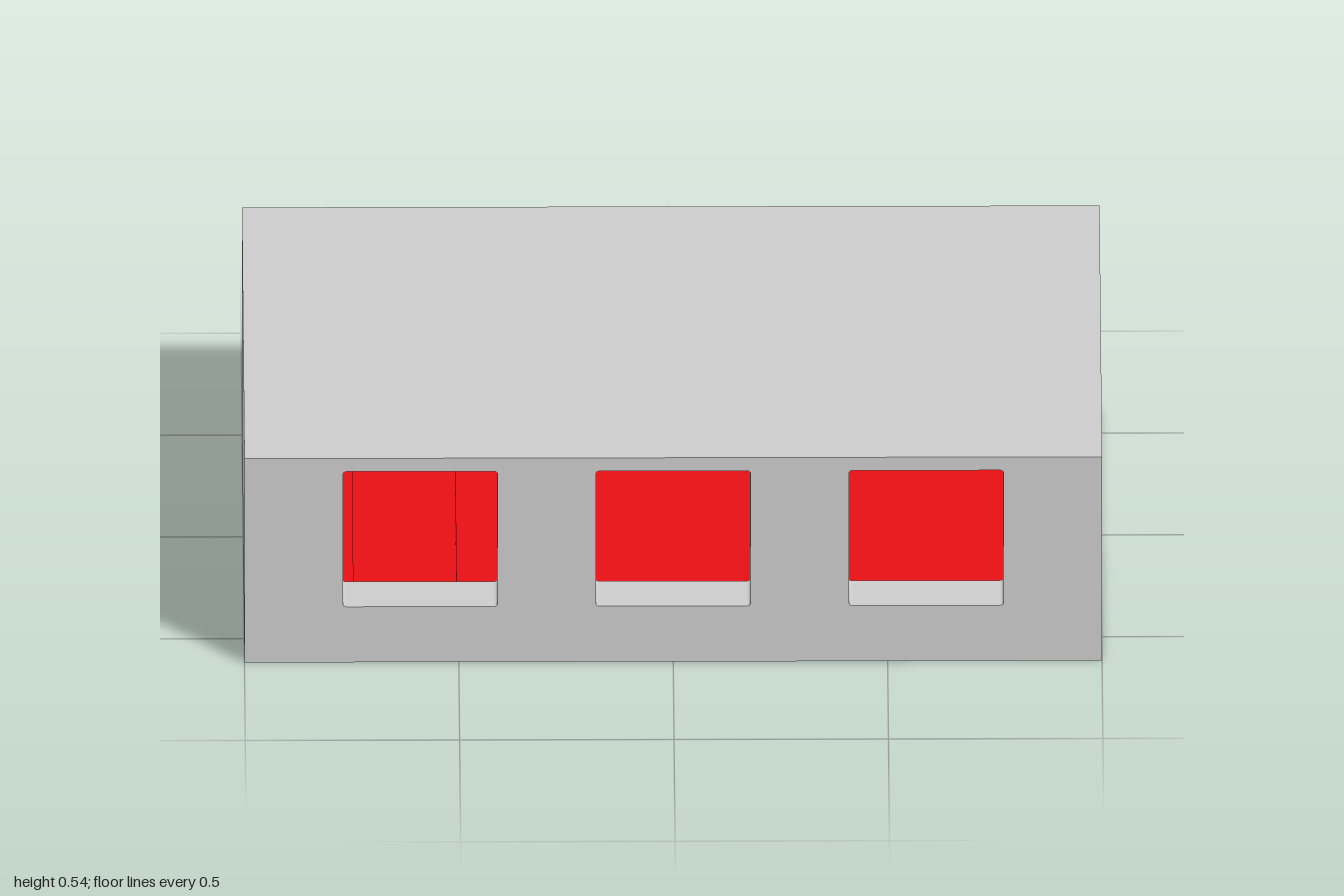
import * as THREE from 'three';

const W = 2, H = 0.54, D = 1.234;         // outer size
const T = 0.123;                          // wall thickness
const FLOOR = 0.117, CHANNEL = 0.058;     // floor level and sunken walkway level
const ROOF = 0.03, BASE = 0.03;
const DOOR = { x0: -0.745, x1: -0.505, y0: CHANNEL, y1: 0.355 };

const grey = new THREE.MeshStandardMaterial({ color: 0xcccccc });
const red = new THREE.MeshStandardMaterial({ color: 0xe60f15 });

// Box given by its minimum and maximum corners
function box(name, material, [x0, y0, z0], [x1, y1, z1]) {
  const mesh = new THREE.Mesh(new THREE.BoxGeometry(x1 - x0, y1 - y0, z1 - z0), material);
  mesh.position.set((x0 + x1) / 2, (y0 + y1) / 2, (z0 + z1) / 2);
  mesh.name = name;
  return mesh;
}

// Rectangular opening, with an optional corner radius
function opening(x0, y0, x1, y1, r = 0) {
  const p = new THREE.Path();
  if (r === 0) {
    p.moveTo(x0, y0).lineTo(x0, y1).lineTo(x1, y1).lineTo(x1, y0).closePath();
    return p;
  }
  p.moveTo(x0 + r, y0);
  p.lineTo(x1 - r, y0).quadraticCurveTo(x1, y0, x1, y0 + r);
  p.lineTo(x1, y1 - r).quadraticCurveTo(x1, y1, x1 - r, y1);
  p.lineTo(x0 + r, y1).quadraticCurveTo(x0, y1, x0, y1 - r);
  p.lineTo(x0, y0 + r).quadraticCurveTo(x0, y0, x0 + r, y0);
  return p;
}

// Full-width wall with holes, its rear side at z
function wall(name, holes, z) {
  const s = new THREE.Shape();
  s.moveTo(-W / 2, 0).lineTo(W / 2, 0).lineTo(W / 2, H).lineTo(-W / 2, H).closePath();
  s.holes.push(...holes);
  const geometry = new THREE.ExtrudeGeometry(s, { depth: T, bevelEnabled: false, curveSegments: 4 });
  const mesh = new THREE.Mesh(geometry, grey);
  mesh.position.z = z;
  mesh.name = name;
  return mesh;
}

export function createModel() {
  const model = new THREE.Group();
  model.name = 'building';
  const zi = D / 2 - T, xi = W / 2 - T;   // inner faces of the walls

  // Front wall with three windows, back wall with a doorway
  const windows = [-0.59, 0, 0.59].map(x => opening(x - 0.18, 0.147, x + 0.18, 0.505, 0.008));
  model.add(wall('frontWall', windows, zi));
  model.add(wall('backWall', [opening(DOOR.x0, DOOR.y0, DOOR.x1, DOOR.y1)], -D / 2));

  // Side walls
  model.add(box('leftWall', grey, [xi, 0, -zi], [W / 2, H, zi]));
  model.add(box('rightWall', grey, [-W / 2, 0, -zi], [-xi, H, zi]));

  // Roof and base between the walls
  model.add(box('roof', grey, [-xi, H - ROOF, -zi], [xi, H, zi]));
  model.add(box('base', grey, [-xi, 0, -zi], [xi, BASE, zi]));

  // Floor, split by the sunken walkway that leads in from the door
  model.add(box('floorRight', red, [-xi, BASE, -zi], [DOOR.x0, FLOOR, zi]));
  model.add(box('floorLeft', red, [DOOR.x1, BASE, -zi], [xi, FLOOR, zi]));
  model.add(box('walkway', red, [DOOR.x0, BASE, -zi], [DOOR.x1, CHANNEL, zi]));
  model.add(box('threshold', red, [DOOR.x0, CHANNEL, -D / 2], [DOOR.x1, CHANNEL + 0.001, -zi]));

  return model;
}
